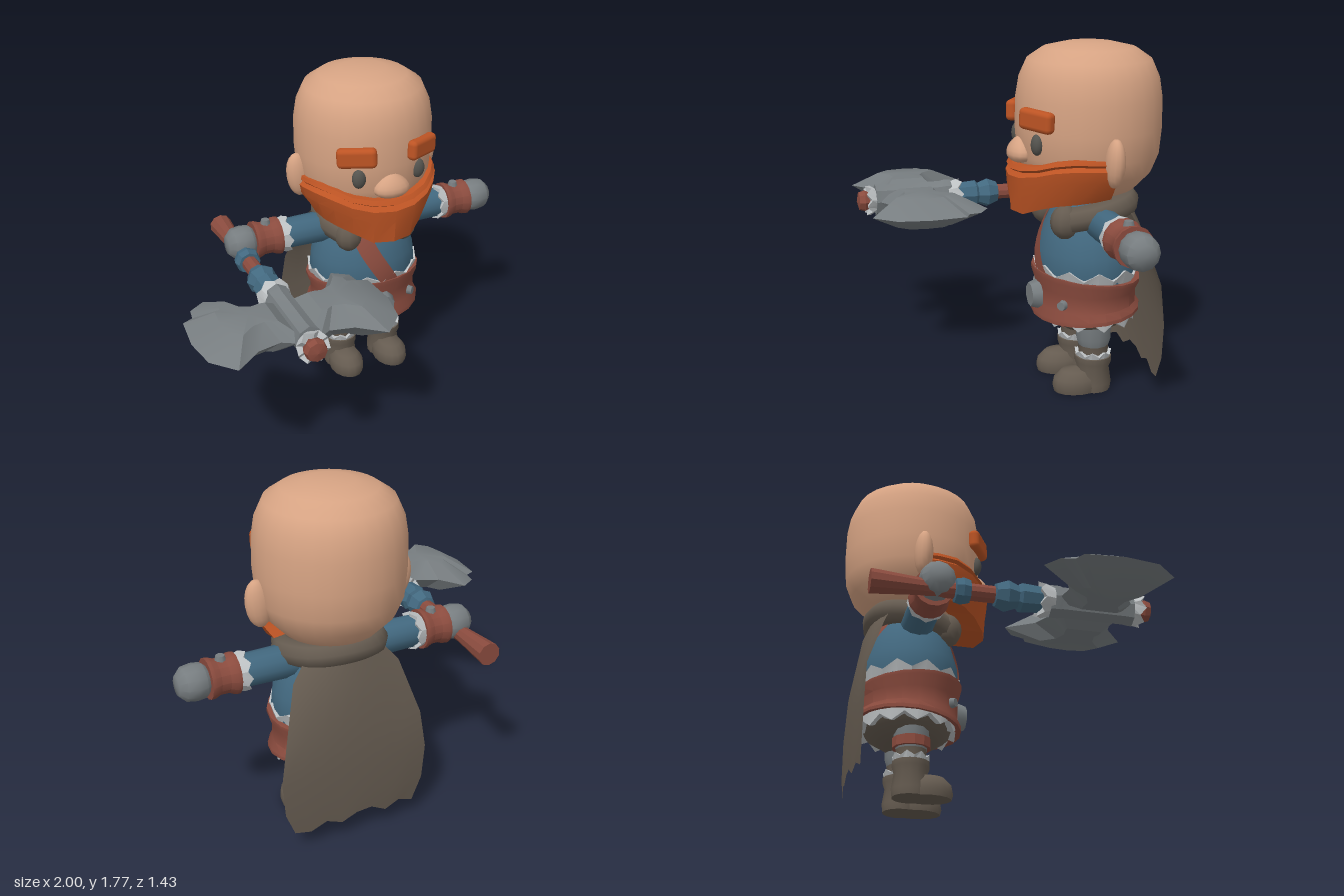
import * as THREE from 'three';
import { toCreasedNormals } from 'three/addons/utils/BufferGeometryUtils.js';
import { RoundedBoxGeometry } from 'three/addons/geometries/RoundedBoxGeometry.js';

const paint = (name, color) => {
  const m = new THREE.MeshStandardMaterial({ color, side: THREE.DoubleSide });
  m.name = name;
  return m;
};

export function createModel() {
  const skin = paint('skin', 0xd6a383), orange = paint('orange hair', 0xbd5424), blue = paint('blue cloth', 0x42687f);
  const leather = paint('red leather', 0x8a4b3e), taupe = paint('taupe cloth', 0x655b50), fur = paint('pale fur', 0xbcc0c2);
  const metal = paint('grey metal', 0x777d80), dark = paint('dark eye', 0x55544f);

  const group = (name, parent, x = 0, y = 0, z = 0) => {
    const g = new THREE.Group();
    g.name = name;
    g.position.set(x, y, z);
    if (parent) parent.add(g);
    return g;
  };
  const add = (parent, name, geo, mat, x = 0, y = 0, z = 0) => {
    const m = new THREE.Mesh(geo, mat);
    m.name = name;
    m.position.set(x, y, z);
    parent.add(m);
    return m;
  };
  const lathe = (pts, n = 20, crease = 0.75) =>
    toCreasedNormals(new THREE.LatheGeometry(pts.map(p => new THREE.Vector2(...p)), n), crease);
  // surface through rows of equally many [x, y, z] points
  const loft = (rows, crease = 0.5) => {
    const w = rows[0].length, index = [];
    for (let r = 0; r < rows.length - 1; r++) for (let c = 0; c < w - 1; c++) {
      const a = r * w + c, b = a + 1, d = a + w, e = d + 1;
      index.push(a, b, e, a, e, d);
    }
    const g = new THREE.BufferGeometry();
    g.setAttribute('position', new THREE.Float32BufferAttribute(rows.flat(2), 3));
    g.setIndex(index);
    return toCreasedNormals(g, crease);
  };
  // fur ring running upward from [r, y] to a toothed rim, or downward when the rim is lower
  const furRing = (rA, yA, rB, yB, amp, teeth) => {
    const ring = (r, y, k) => Array.from({ length: 2 * teeth + 1 }, (_, i) => {
      const a = (i / (2 * teeth)) * Math.PI * 2;
      return [Math.sin(a) * r, y + (i % 2 ? k : -k), Math.cos(a) * r];
    });
    const rows = [ring(rA, yA, 0), ring(rB, yB, amp), ring(rA * 0.85, yB, amp * 0.5)];
    return loft(yB > yA ? rows : rows.reverse(), 0.3);
  };

  const model = group('dwarfWarrior');
  const figure = group('figure', model, 0.2125, 0, -0.355);

  // head
  const head = group('head', figure);
  add(head, 'skull', lathe([[0, 0.99], [0.15, 0.995], [0.24, 1.045], [0.32, 1.13], [0.355, 1.22], [0.366, 1.35],
    [0.364, 1.5], [0.348, 1.6], [0.31, 1.685], [0.23, 1.74], [0.12, 1.765], [0, 1.77]], 28, 1), skin);
  const nose = add(head, 'nose', new THREE.SphereGeometry(1, 14, 10), skin, 0, 1.25, 0.355);
  const np = nose.geometry.attributes.position;
  for (let i = 0; i < np.count; i++) {
    const y = np.getY(i), k = 1 - 0.35 * y;
    np.setXYZ(i, np.getX(i) * 0.095 * k, y * 0.065, np.getZ(i) * 0.06 * k);
  }
  nose.geometry.computeVertexNormals();
  for (const s of [-1, 1]) {
    add(head, 'eye', new THREE.SphereGeometry(1, 14, 10), dark, s * 0.166, 1.3, 0.318).scale.set(0.038, 0.053, 0.03);
    const brow = add(head, 'eyebrow', new RoundedBoxGeometry(0.205, 0.105, 0.06, 2, 0.025), orange, s * 0.182, 1.42, 0.325);
    brow.rotation.set(0, s * 0.5, s * -0.05, 'YXZ');
    const ear = add(head, 'ear', new THREE.SphereGeometry(1, 14, 10), skin, s * 0.368, 1.23, -0.005);
    ear.scale.set(0.065, 0.122, 0.048);
    ear.rotation.z = s * -0.12;
  }

  // beard columns: angle from the front, top y, bottom y, top radius, bottom radius
  const half = [[0, 1.18, 0.945, 0.385, 0.4], [16, 1.19, 0.945, 0.385, 0.385], [32, 1.205, 0.985, 0.38, 0.36],
    [47, 1.235, 1.01, 0.375, 0.345], [62, 1.25, 1.02, 0.372, 0.325], [78, 1.245, 1.03, 0.37, 0.31], [93, 1.24, 1.04, 0.37, 0.3]];
  const columns = [...half.slice(1).reverse().map(([a, ...r]) => [-a, ...r]), ...half];
  // rows: fraction down, extra radius; a lip groove runs below the moustache
  const beardRows = [[0, -0.03], [0.01, 0.004], [0.1, 0.022], [0.16, -0.004], [0.24, 0.012], [0.5, 0.006], [1, 0], [0.93, -0.13]];
  add(head, 'beard', loft(beardRows.map(([f, d]) => columns.map(([a, t, b, rt, rb]) => {
    const front = Math.max(0, Math.cos(a * Math.PI / 180));
    const bulge = f > 0.2 && f < 0.9 ? 0.014 : 0;
    const r = rt + (rb - rt) * f * f + bulge + (d > 0 || f === 0.16 ? d * (0.3 + 0.7 * front) : d);
    const q = a * Math.PI / 180;
    return [Math.sin(q) * r, t + (b - t) * f, Math.cos(q) * r];
  })).reverse(), 0.4), orange);

  // torso, belt and skirt share an oval plan
  const torso = group('torso', figure);
  torso.scale.z = 0.85;
  const shape = [[0.285, 0.56], [0.3, 0.65], [0.292, 0.73], [0.262, 0.82], [0.215, 0.91], [0.16, 0.97]];
  add(torso, 'tunic', lathe([...shape, [0, 0.99]], 24, 1), blue);
  add(torso, 'skirt', lathe([[0, 0.305], [0.16, 0.31], [0.25, 0.36], [0.28, 0.42]], 20), taupe);
  add(torso, 'upperFur', furRing(0.285, 0.57, 0.312, 0.645, 0.022, 11), fur);
  add(torso, 'lowerFur', furRing(0.295, 0.44, 0.29, 0.375, 0.022, 12), fur);
  const belt = new THREE.LatheGeometry([[0.26, 0.41], [0.322, 0.4], [0.322, 0.42], [0.3, 0.455], [0.298, 0.53], [0.322, 0.585],
    [0.322, 0.605], [0.26, 0.6]].map(p => new THREE.Vector2(...p)), 20);
  const bp = belt.attributes.position;
  for (let i = 0; i < bp.count; i++) bp.setY(i, 0.5 + (bp.getY(i) - 0.5) * (1 + 0.7 * bp.getZ(i)));
  add(torso, 'belt', toCreasedNormals(belt, 0.6), leather);
  const radiusAt = y => {
    const i = Math.max(1, shape.findIndex(p => p[1] >= y)), [r0, y0] = shape[i - 1], [r1, y1] = shape[i];
    return r0 + (r1 - r0) * (y - y0) / (y1 - y0);
  };
  // chest strap, front and back
  for (const side of [1, -1]) {
    const rows = Array.from({ length: 10 }, (_, i) => {
      const t = i / 9, y = 0.6 + 0.365 * t, r = radiusAt(y) + 0.012, q = 0.2 - 0.75 * t;
      return [-0.052, 0, 0.052].map(w => {
        const a = q + w / r;
        return [Math.sin(a) * r, y + w * 0.15, Math.cos(a) * r * side];
      });
    });
    add(torso, 'chestStrap', loft(side > 0 ? rows : rows.map(r => r.reverse()), 1), leather);
  }
  const disc = (r, h) => new THREE.CylinderGeometry(r * 0.8, r, h, 8).rotateY(Math.PI / 8).rotateX(Math.PI / 2);
  add(figure, 'buckle', disc(0.078, 0.05), metal, 0, 0.487, 0.275);
  for (const s of [-1, 1]) add(figure, 'beltStud', disc(0.028, 0.04), metal, s * 0.205, 0.487, 0.19).rotation.y = s * 0.7;

  // collar and cape
  const arc = [[-0.16, 0.905, 0.17], [-0.225, 0.945, 0.02], [-0.16, 0.975, -0.14], [0, 0.985, -0.19],
    [0.16, 0.975, -0.14], [0.225, 0.945, 0.02], [0.16, 0.905, 0.17]].map(p => new THREE.Vector3(...p));
  add(figure, 'collar', new THREE.TubeGeometry(new THREE.CatmullRomCurve3(arc), 24, 0.065, 8), taupe);
  for (const s of [0, 6]) add(figure, 'collarEnd', new THREE.SphereGeometry(0.073, 10, 8), taupe, ...arc[s].toArray()).scale.y = 1.2;
  const capeRows = [[1.0, 0.17, -0.2], [0.87, 0.28, -0.25], [0.6, 0.36, -0.293], [0.4, 0.39, -0.302], [0.22, 0.375, -0.302], [0.09, 0.325, -0.297]];
  const hem = [0, 0.035, 0.005, 0.05, 0.045, 0.01, 0.04, 0, 0.01];
  add(figure, 'cape', loft(capeRows.map(([y, w, z], r) => hem.map((h, c) => {
    const u = c / 4 - 1;
    return [u * w, y + (r === 5 ? h : 0), z + u * u * (r < 2 ? 0.07 : 0.025)];
  })), 1), taupe);

  // arms, built along +x; the other side is a half turn
  for (const turn of [0, Math.PI]) {
    const arm = group(turn ? 'rightArm' : 'leftArm', figure, 0, 0.9, 0);
    arm.rotation.y = turn;
    const limb = group('limb', arm);
    limb.rotation.z = -Math.PI / 2;
    add(limb, 'sleeve', lathe([[0.07, 0.1], [0.085, 0.2], [0.08, 0.48]], 12), blue);
    add(limb, 'cuffFur', furRing(0.085, 0.5, 0.098, 0.452, 0.012, 8), fur);
    add(limb, 'bracer', lathe([[0.07, 0.495], [0.102, 0.495], [0.102, 0.515], [0.088, 0.545], [0.088, 0.59], [0.1, 0.62], [0.1, 0.638], [0.06, 0.638]], 14, 0.5), leather);
    add(limb, 'hand', lathe([[0.06, 0.63], [0.085, 0.655], [0.09, 0.7], [0.082, 0.75], [0.05, 0.782], [0, 0.787]], 12), metal);
    add(arm, 'bracerStud', new THREE.CylinderGeometry(0.022, 0.03, 0.03, 8), metal, 0.565, 0.092, 0);
  }

  // legs
  for (const s of [-1, 1]) {
    const leg = group(s < 0 ? 'rightLeg' : 'leftLeg', figure, s * 0.138, 0, 0);
    add(leg, 'trouser', lathe([[0.078, 0.24], [0.09, 0.28], [0.09, 0.4]], 12), metal);
    add(leg, 'wrap', lathe([[0.075, 0.18], [0.08, 0.27], [0.086, 0.285]], 12), taupe);
    add(leg, 'bootFur', furRing(0.082, 0.17, 0.094, 0.205, 0.012, 8), fur);
    add(leg, 'bootShaft', lathe([[0, 0], [0.09, 0], [0.095, 0.04], [0.083, 0.12], [0.094, 0.15], [0.094, 0.18], [0.07, 0.182]], 14), taupe);
    add(leg, 'bootToe', lathe([[0, 0], [0.088, 0], [0.094, 0.03], [0.088, 0.07], [0.06, 0.108], [0, 0.122]], 16), taupe, 0, 0, 0.085).scale.z = 1.38;
    if (s < 0) add(leg, 'legStrap', lathe([[0.08, 0.25], [0.097, 0.25], [0.097, 0.3], [0.08, 0.3]], 12, 0.4), leather);
  }

  // axe, built along +z
  const axe = group('axe', model, -0.5, 0.855, 0);
  const shaft = group('shaft', axe);
  shaft.rotation.x = Math.PI / 2;
  add(shaft, 'handle', lathe([[0, -0.675], [0.06, -0.675], [0.058, -0.64], [0.042, -0.44], [0.042, 0.15]], 10, 0.5), leather);
  add(shaft, 'gripWrap', lathe([[0.04, -0.275], [0.06, -0.27], [0.068, -0.235], [0.058, -0.2], [0.04, -0.2]], 8, 0.3), blue);
  add(shaft, 'neckWrap', lathe([[0.04, -0.08], [0.058, -0.075], [0.08, -0.02], [0.058, 0.035], [0.074, 0.05], [0.066, 0.15]], 8, 0.3), blue);
  add(shaft, 'backFur', furRing(0.07, 0.21, 0.088, 0.145, 0.015, 7), fur);
  add(shaft, 'hub', lathe([[0, 0.19], [0.068, 0.19], [0.068, 0.235], [0.064, 0.25], [0.064, 0.57], [0.068, 0.61], [0, 0.615]], 8, 0.3), metal).scale.z = 1.3;
  add(shaft, 'frontFur', furRing(0.06, 0.6, 0.082, 0.65, 0.015, 7), fur);
  add(shaft, 'tip', lathe([[0.04, 0.62], [0.058, 0.67], [0.05, 0.7], [0, 0.712]], 8, 0.3), leather);
  // blade outline as distance from the shaft and z, thickened toward its middle
  const outline = [[0, 0.24], [0.06, 0.235], [0.14, 0.25], [0.25, 0.2], [0.34, 0.065], [0.42, 0.12], [0.43, 0.185], [0.483, 0.21], [0.5, 0.4],
    [0.473, 0.57], [0.37, 0.685], [0.24, 0.58], [0.12, 0.555], [0.06, 0.59], [0, 0.59]];
  outline.push(outline[0]);
  const inset = (k, h) => outline.map(([x, z]) => [0.22 + (x - 0.22) * k, h, 0.4 + (z - 0.4) * k]);
  for (const turn of [0, Math.PI]) {
    const blade = add(axe, 'blade', loft([inset(0, 0.09), inset(0.5, 0.082), inset(1, 0), inset(0.5, -0.082), inset(0, -0.09)].reverse(), 0.5), metal);
    blade.scale.x = turn ? -1 : 1;
  }
  return model;
}
